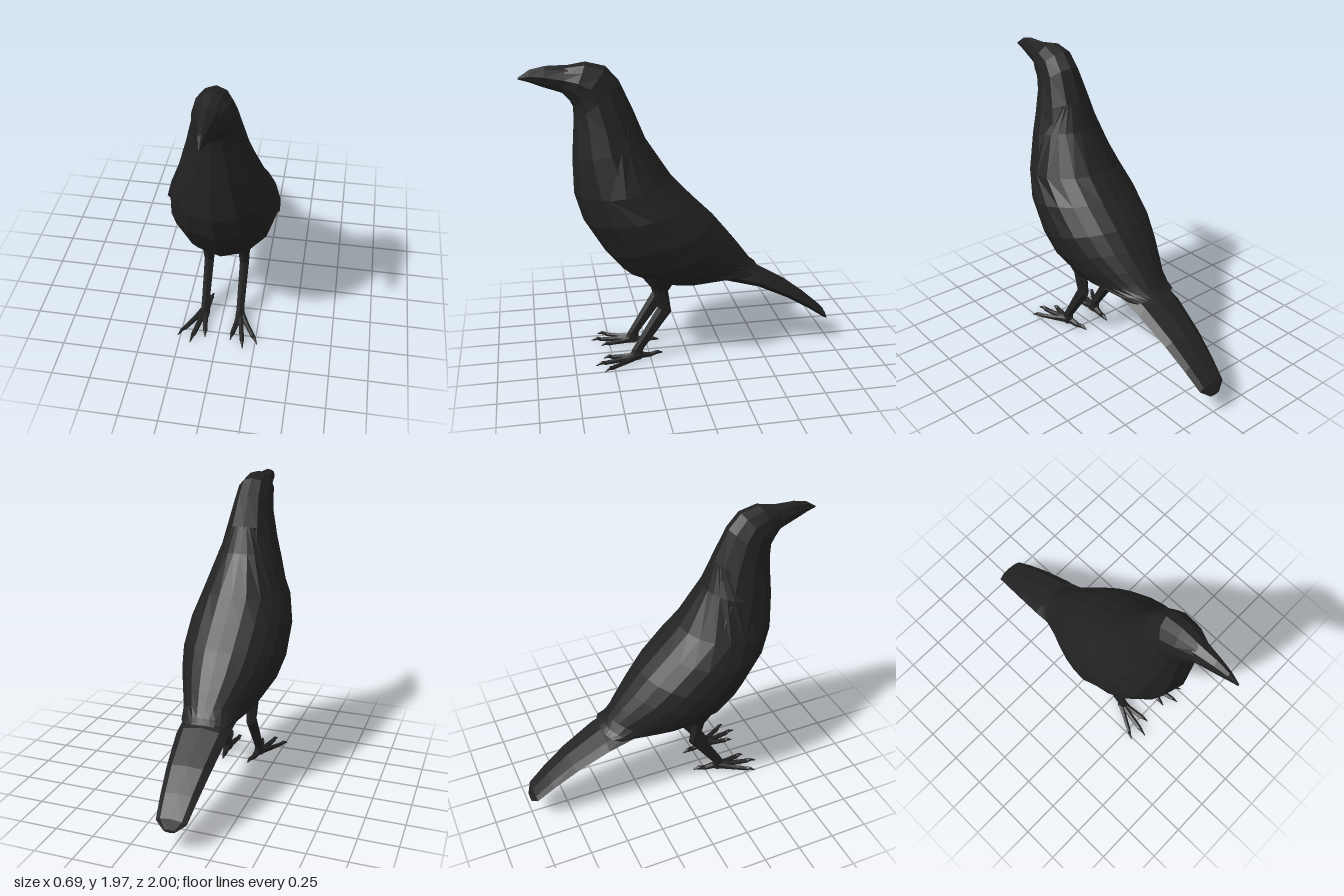
import * as THREE from 'three';

// One cross-section: upper/back point, lower/front point, half width, sideways offset.
const sec = (zb, yb, zf, yf, w, x = 0) => ({ zb, yb, zf, yf, w, x });

// Points round a section; angle 0 is the back, 90 degrees is the +x flank.
function ring(s, a0, a1, n, grow) {
  const pts = [];
  for (let j = 0; j <= n; j++) {
    const a = a0 + (a1 - a0) * j / n, c = Math.cos(a) * grow / 2;
    pts.push([
      s.x + s.w * grow * Math.sin(a),
      (s.yb + s.yf) / 2 + (s.yb - s.yf) * c,
      (s.zb + s.zf) / 2 + (s.zb - s.zf) * c,
    ]);
  }
  return pts;
}

// Skin a list of rings, closing the ends when asked.
function skin(rings, caps) {
  const pos = [], n = rings[0].length - 1;
  const tri = (...p) => p.forEach(v => pos.push(...v));
  for (let i = 0; i < rings.length - 1; i++) {
    const p = rings[i], q = rings[i + 1];
    for (let j = 0; j < n; j++) {
      tri(p[j], p[j + 1], q[j]);
      tri(p[j + 1], q[j + 1], q[j]);
    }
  }
  if (caps) {
    const mid = r => [0, 1, 2].map(k => r.slice(0, n).reduce((t, v) => t + v[k], 0) / n);
    const first = rings[0], last = rings[rings.length - 1];
    for (let j = 0; j < n; j++) {
      tri(mid(first), first[j + 1], first[j]);
      tri(mid(last), last[j], last[j + 1]);
    }
  }
  const g = new THREE.BufferGeometry();
  g.setAttribute('position', new THREE.Float32BufferAttribute(pos, 3));
  g.computeVertexNormals();
  return g;
}

export function createModel() {
  const model = new THREE.Group();
  const plumage = new THREE.MeshStandardMaterial({ color: 0x222222, flatShading: true, side: THREE.DoubleSide });
  plumage.name = 'black plumage';

  const add = (name, geometry, parent = model) => {
    const mesh = new THREE.Mesh(geometry, plumage);
    mesh.name = name;
    parent.add(mesh);
  };
  const loft = (secs, n, grow = 1) => skin(secs.map(s => ring(s, 0, Math.PI * 2, n, grow)), true);

  // Head, neck and body, from the face to the rump
  const body = [
    sec(0.72, 1.95, 0.75, 1.79, 0.065),
    sec(0.60, 1.97, 0.705, 1.74, 0.105),
    sec(0.48, 1.94, 0.685, 1.70, 0.122),
    sec(0.40, 1.85, 0.685, 1.62, 0.135),
    sec(0.31, 1.65, 0.695, 1.50, 0.175),
    sec(0.25, 1.48, 0.705, 1.38, 0.215),
    sec(0.09, 1.23, 0.705, 1.15, 0.29),
    sec(-0.04, 1.09, 0.655, 0.97, 0.335),
    sec(-0.18, 0.95, 0.525, 0.75, 0.342),
    sec(-0.27, 0.84, 0.415, 0.615, 0.315),
    sec(-0.35, 0.74, 0.25, 0.535, 0.265),
    sec(-0.41, 0.66, 0.10, 0.495, 0.22),
    sec(-0.45, 0.61, -0.18, 0.515, 0.18),
    sec(-0.47, 0.57, -0.32, 0.50, 0.15),
  ];
  add('body', loft(body, 12, 0.985));

  // Folded wings: a raised shell over the back, its lower edge set by an angle per section
  const edge = [40, 75, 110, 96, 91, 88, 84, 78, 74];
  const wingRings = edge.map((deg, i) => {
    const a = deg * Math.PI / 180;
    return ring(body[i + 4], -a, a, 12, i === 0 ? 0.98 : 1.015);
  });
  wingRings.push(ring(sec(-0.485, 0.585, -0.33, 0.53, 0.165), -1.1, 1.1, 12, 1));
  add('foldedWings', skin(wingRings, false));

  // Beak, from tip to base
  add('beak', loft([
    sec(1.0, 1.885, 1.0, 1.875, 0.005),
    sec(0.93, 1.93, 0.935, 1.855, 0.024),
    sec(0.84, 1.95, 0.86, 1.825, 0.042),
    sec(0.70, 1.952, 0.73, 1.78, 0.07),
  ], 8));

  // Tail, from rump to rounded tip
  add('tail', loft([
    sec(-0.34, 0.61, -0.20, 0.52, 0.17),
    sec(-0.48, 0.56, -0.48, 0.44, 0.165),
    sec(-0.72, 0.42, -0.68, 0.34, 0.14),
    sec(-0.86, 0.31, -0.85, 0.235, 0.117),
    sec(-0.975, 0.205, -0.965, 0.155, 0.097),
    sec(-1.0, 0.15, -1.0, 0.13, 0.04),
  ], 8));

  // Legs and feet, mirrored
  for (const side of [1, -1]) {
    const leg = new THREE.Group();
    leg.name = side > 0 ? 'leftLeg' : 'rightLeg';
    model.add(leg);
    const x = 0.12 * side;
    add('shank', loft([
      sec(0.05, 0.60, 0.32, 0.62, 0.09, x),
      sec(0.13, 0.48, 0.23, 0.50, 0.042, x),
      sec(0.11, 0.33, 0.20, 0.37, 0.033, x),
      sec(0.30, 0.07, 0.37, 0.08, 0.028, x),
      sec(0.30, 0.01, 0.40, 0.01, 0.035, x),
    ], 6), leg);

    // Three front toes with hooked claws: tip x, tip z
    for (const [tx, tz] of [[0.085, 0.56], [0.175, 0.62], [0.265, 0.57]]) {
      const at = (t, top, low, w) => {
        const z = 0.32 + (tz - 0.32) * t;
        return sec(z, top, z, low, w, (0.12 + (tx - 0.12) * t) * side);
      };
      add('frontToe', loft([
        at(1, 0.012, 0.006, 0.003),
        at(0.86, 0.038, 0.01, 0.011),
        at(0.78, 0.03, 0.004, 0.017),
        at(0.4, 0.04, 0, 0.018),
        at(0, 0.062, 0, 0.026),
      ], 6), leg);
    }
    // Hind toe
    add('hindToe', loft([
      sec(0.36, 0.06, 0.36, 0, 0.026, x),
      sec(0.25, 0.034, 0.25, 0.002, 0.018, 0.107 * side),
      sec(0.205, 0.042, 0.21, 0.01, 0.014, 0.098 * side),
      sec(0.165, 0.022, 0.165, 0.014, 0.004, 0.092 * side),
    ], 6), leg);
  }
  return model;
}
